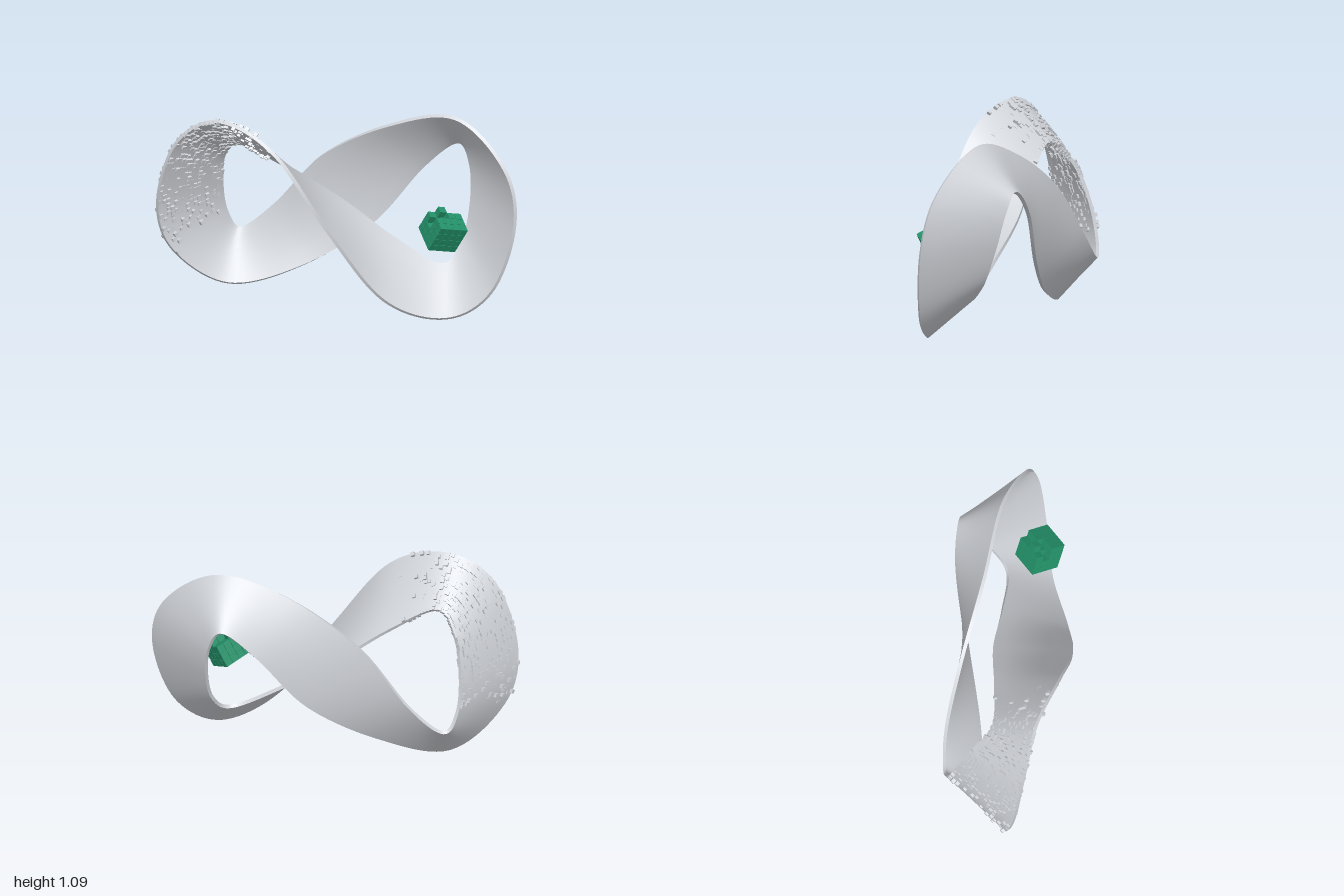
import * as THREE from 'three';
import { mergeGeometries } from 'three/addons/utils/BufferGeometryUtils.js';

const V = (x, y, z) => new THREE.Vector3(x, y, z);

// First half of the single edge of the one-sided ribbon, from the front of the crossing to its back
const halfEdge = [
  [0, 0.55, 0.335], [0.3, 0.145, 0.285], [0.62, 0.015, 0.18], [0.87, 0.17, 0.13],
  [0.99, 0.55, 0.08], [0.92, 0.86, 0.02], [0.63, 1.087, -0.095], [0.24, 0.985, -0.165],
  [-0.14, 0.74, -0.26], [-0.41, 0.41, -0.325], [-0.6, 0.25, -0.325], [-0.675, 0.36, -0.295],
  [-0.69, 0.55, -0.245], [-0.66, 0.75, -0.165], [-0.56, 0.865, -0.06], [-0.3, 0.74, -0.07],
  [0, 0.55, -0.1],
].map((p) => V(...p));

// The other half is the first turned 180 degrees about the z axis
const turned = halfEdge.slice(1, 16).reverse().map((p) => V(-p.x, 1.1 - p.y, p.z));
const edge = new THREE.CatmullRomCurve3([...halfEdge, ...turned], true, 'catmullrom', 0.5);
const edgeAt = (s) => edge.getPoint((((s % 32) + 32) % 32) / 32);

// Both edge points and the local axes of the ribbon at s; one lap is 16, two laps close it
function frame(s) {
  const a = edgeAt(s), b = edgeAt(s + 16);
  const mid = (q) => edgeAt(q).add(edgeAt(q + 16));
  const t = mid(s + 0.05).sub(mid(s - 0.05)).normalize();
  const n = t.clone().cross(a.clone().sub(b)).normalize();
  const w = n.clone().cross(t).normalize();
  return { a, b, t, n, w };
}

// Closed strip of cross-sections over both laps
function strip(across, pointAt) {
  const rows = 320, pos = [], index = [];
  for (let i = 0; i < rows; i++) {
    const f = frame((i * 32) / rows);
    for (let j = 0; j <= across; j++) pos.push(...pointAt(f, j / across).toArray());
  }
  for (let i = 0; i < rows; i++) {
    for (let j = 0; j < across; j++) {
      const p = i * (across + 1) + j, q = ((i + 1) % rows) * (across + 1) + j;
      index.push(p, p + 1, q, q, p + 1, q + 1);
    }
  }
  const g = new THREE.BufferGeometry();
  g.setAttribute('position', new THREE.Float32BufferAttribute(pos, 3));
  g.setIndex(index);
  g.computeVertexNormals();
  return g;
}

function seeded(seed) {
  return () => {
    seed = (seed * 16807) % 2147483647;
    return seed / 2147483647;
  };
}

export function createModel() {
  const group = new THREE.Group();
  const grey = new THREE.MeshStandardMaterial({ color: 0xcfd2d7 });
  grey.name = 'ribbonGrey';
  const green = new THREE.MeshStandardMaterial({ color: 0x239068 });
  green.name = 'cubeGreen';
  const add = (name, geometry, material) => {
    const mesh = new THREE.Mesh(geometry, material);
    mesh.name = name;
    group.add(mesh);
  };

  // Ribbon: one continuous face and one continuous rim
  const h = 0.01;
  add('ribbonFace', strip(6, (f, v) => f.a.clone().lerp(f.b, v).addScaledVector(f.n, h)), grey);
  add('ribbonRim', strip(1, (f, v) => f.a.clone().addScaledVector(f.n, h * (2 * v - 1))), grey);

  // Small cubes breaking out of the left loop, thinning toward both ends
  const rand = seeded(4711), bits = [];
  const rows = 46, cols = 17, from = 26.9, to = 30.9;
  for (let i = 0; i < rows; i++) {
    const u = i / (rows - 1);
    const f = frame(from + (to - from) * u);
    const density = Math.min(0.92, 0.1 + 3.2 * u, 0.06 + 3.4 * (1 - u));
    for (let j = 0; j < cols; j++) {
      if (rand() > density) continue;
      const size = 0.018 + 0.005 * rand();
      const stray = (1 - density) * 0.025;
      const p = f.a.clone().lerp(f.b, (j + 0.5) / cols)
        .addScaledVector(f.n, (rand() - 0.5) * (0.026 + stray))
        .addScaledVector(f.t, (rand() - 0.5) * stray);
      const m = new THREE.Matrix4().makeBasis(f.t, f.w, f.t.clone().cross(f.w)).setPosition(p);
      bits.push(new THREE.BoxGeometry(size, size, size).applyMatrix4(m));
    }
  }
  add('scatteredCubes', mergeGeometries(bits), grey);

  // Tilted block of small cubes with a few missing (indices count along side, down, back)
  const down = V(-0.08, -0.15, -0.035).normalize();
  const side = V(-0.12, 0.05, 0.1);
  side.addScaledVector(down, -side.dot(down)).normalize();
  const back = down.clone().cross(side);
  const tilt = new THREE.Matrix4().makeBasis(down, side, back).setPosition(0.6, 0.518, 0.115);
  const missing = ['303', '103', '003', '302', '202', '312'];
  const cell = 0.043, cubes = [];
  for (let i = 0; i < 4; i++) {
    for (let j = 0; j < 4; j++) {
      for (let k = 0; k < 4; k++) {
        if (missing.includes(`${i}${j}${k}`)) continue;
        cubes.push(new THREE.BoxGeometry(0.041, 0.041, 0.041)
          .translate((j - 1.5) * cell, (i - 1.5) * cell, (k - 1.5) * cell)
          .applyMatrix4(tilt));
      }
    }
  }
  add('cubeBlock', mergeGeometries(cubes), green);

  return group;
}
